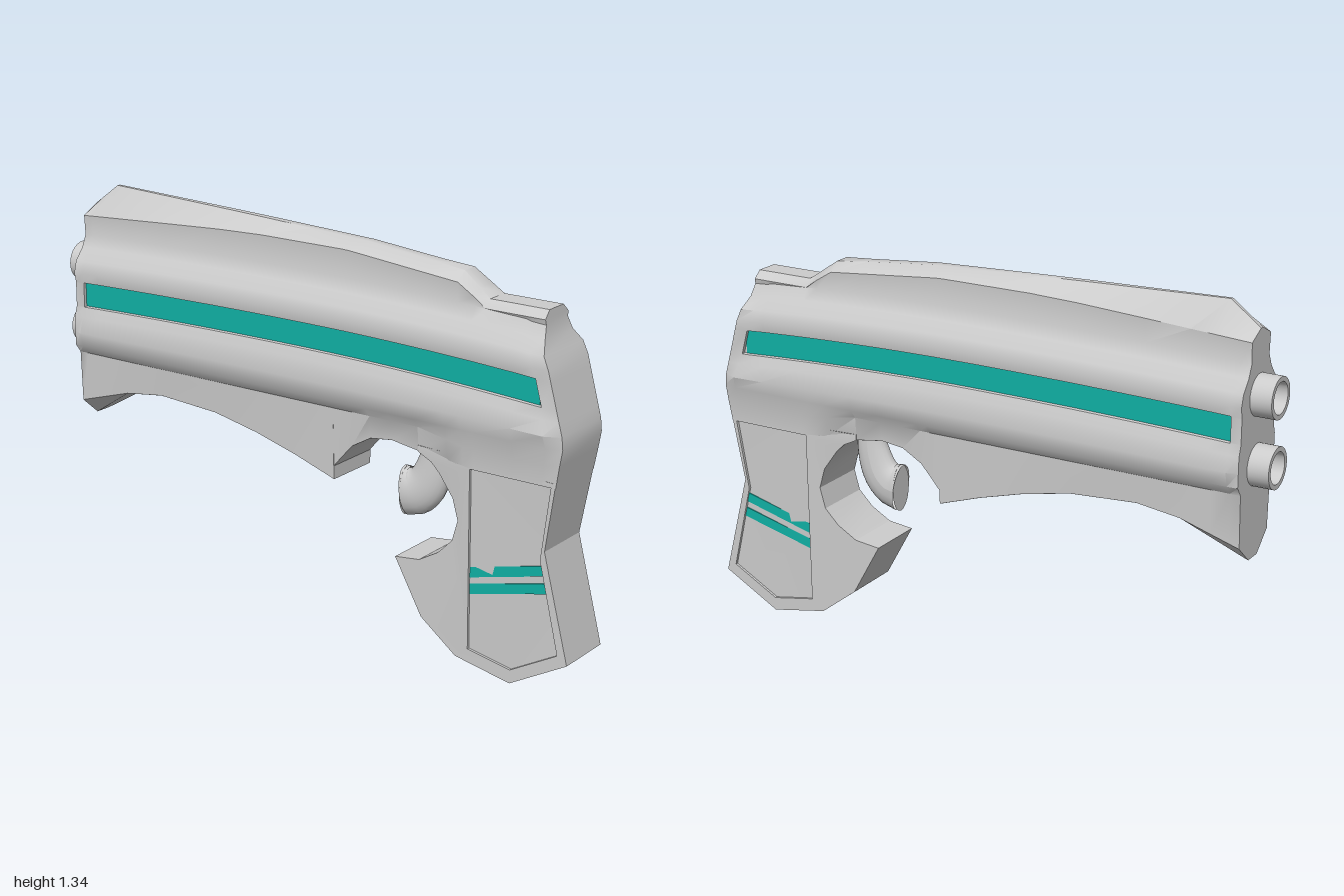
import * as THREE from 'three';
import { toCreasedNormals } from 'three/addons/utils/BufferGeometryUtils.js';

const grey = new THREE.MeshStandardMaterial({ color: 0xcccccc, side: THREE.DoubleSide });
const teal = new THREE.MeshStandardMaterial({ color: 0x10b0a4 });

// Piecewise linear lookup through [key, value] pairs with rising keys
function interp(pts, v) {
  if (v <= pts[0][0]) return pts[0][1];
  for (let i = 1; i < pts.length; i++) {
    const [a, fa] = pts[i - 1], [b, fb] = pts[i];
    if (v <= b) return fa + (fb - fa) * (v - a) / (b - a);
  }
  return pts[pts.length - 1][1];
}

const ridge = [[-0.93, 1.27], [-0.83, 1.345], [-0.25, 1.325], [0.2, 1.305], [0.56, 1.27], [0.66, 1.2], [0.86, 1.2]];
const shoulder = [[-0.93, 1.24], [-0.6, 1.26], [-0.25, 1.28], [0.15, 1.28], [0.57, 1.24], [0.66, 1.175], [0.86, 1.175]];
const ridgeWidth = [[-0.8, 0.006], [0.5, 0.02], [0.66, 0.04]];
const rearEdge = [[0.47, 0.91], [0.82, 0.97], [0.93, 0.94], [1.04, 0.91], [1.13, 0.87], [1.25, 0.86]];
const bow = z => (z > 0 ? -0.03 : -0.015) * (z / 0.9) ** 2;

// Half of the body cross-section, [half width, y] from bottom to top
function section(z, bottom, recess) {
  const d = bow(z), rear = interp([[0.45, 0], [0.62, 1]], z);
  const chin = interp([[-0.93, 1], [-0.73, 0]], z);
  const floor = recess ? 0.104 : 0.117;
  return [
    [0.098 - 0.068 * chin + 0.014 * rear, bottom],
    [0.1 + 0.012 * rear, bottom + 0.06 * chin + 0.001],
    [0.106 + 0.014 * rear, 0.775 - 0.025 * rear],
    [0.13, 0.805],
    [0.143, 0.86 + d / 2],
    [0.128, 0.92 + d],
    [0.117, 0.953 + d],
    [floor, 0.955 + d],
    [floor, 1.035 + d],
    [0.117, 1.037 + d],
    [0.124, 1.07 + d],
    [0.113, 1.11 + d],
    [0.08, 1.15 + d],
    [0.062, 1.19 + d],
    [0.066, interp(shoulder, z)],
    [interp(ridgeWidth, z), interp(ridge, z)],
  ];
}

function bodyGeometry() {
  // [z, underside height]; the doubled station is the front of the trigger opening
  const stations = [[0.8, 0.68], [0.66, 0.68], [0.62, 0.685], [0.56, 0.69], [0.45, 0.695], [0.35, 0.71],
    [0.27, 0.7], [0.2, 0.66], [0.16, 0.615], [0.13, 0.58], [0.13, 0.535], [-0.02, 0.585], [-0.18, 0.63],
    [-0.35, 0.665], [-0.58, 0.68], [-0.73, 0.66], [-0.83, 0.6], [-0.895, 0.561]];
  const rings = [];
  const add = (half, zOf, maxW) => {
    const side = half.map(([w, y]) => [Math.min(w, maxW), y, zOf(y)]);
    rings.push([...side, ...side.map(([x, y, z]) => [-x, y, z]).reverse()]);
  };
  const slanted = k => y => interp(rearEdge, y) - k;
  add(section(0.93, 0.68, false), slanted(0), 0.115);
  add(section(0.88, 0.68, false), slanted(0.05), 1);
  add(section(0.88, 0.68, true), slanted(0.05), 1);
  for (const [z, b] of stations) add(section(z, b, true), () => z, 1);
  add(section(-0.895, 0.561, false), () => -0.895, 1);
  add(section(-0.93, 0.54, false), () => -0.93, 0.128);

  const n = rings[0].length, last = (rings.length - 1) * n, index = [];
  for (let s = 0; s < rings.length - 1; s++) {
    for (let i = 0; i < n; i++) {
      const a = s * n + i, b = s * n + (i + 1) % n;
      index.push(a, a + n, b + n, a, b + n, b);
    }
  }
  // End faces as strips across the section
  for (let i = 0; i < n / 2 - 1; i++) {
    const l = n - 1 - i;
    index.push(l, i, i + 1, l, i + 1, l - 1);
    index.push(last + l, last + i + 1, last + i, last + l, last + l - 1, last + i + 1);
  }
  const g = new THREE.BufferGeometry();
  g.setAttribute('position', new THREE.Float32BufferAttribute(rings.flat(2), 3));
  g.setIndex(index);
  return toCreasedNormals(g, 0.6);
}

const points = list => list.map(([z, y]) => new THREE.Vector2(z, y));

// Side outline in (z, y) extruded across x, flaring out toward the body
function sideExtrude(outline, half, hole) {
  const shape = new THREE.Shape(points(outline));
  if (hole) shape.holes.push(new THREE.Path(points(hole)));
  const g = new THREE.ExtrudeGeometry(shape, { depth: 2 * half, bevelEnabled: false });
  g.translate(0, 0, -half).rotateY(-Math.PI / 2);
  const p = g.attributes.position;
  for (let i = 0; i < p.count; i++) {
    if (p.getZ(i) > 0.61 && p.getY(i) > 0.5) p.setX(i, p.getX(i) * (1 + (p.getY(i) - 0.5) * 0.5));
  }
  return toCreasedNormals(g, 0.4);
}

// Curved trigger that thickens toward its cut end
function triggerGeometry() {
  const path = new THREE.CatmullRomCurve3([[0.455, 0.74], [0.452, 0.64], [0.42, 0.555], [0.38, 0.522], [0.345, 0.517]]
    .map(([z, y]) => new THREE.Vector3(0, y, z)));
  const n = 16, m = 20, g = new THREE.TubeGeometry(path, n, 1, m);
  const p = g.attributes.position, v = new THREE.Vector3();
  for (let i = 0; i < p.count; i++) {
    const t = Math.floor(i / (m + 1)) / n, c = path.getPointAt(t);
    v.fromBufferAttribute(p, i).sub(c).multiplyScalar(0.045 + 0.037 * t);
    v.x *= 0.6;
    v.add(c);
    p.setXYZ(i, v.x, v.y, v.z);
  }
  g.computeVertexNormals();
  return g;
}

export function createModel() {
  const model = new THREE.Group();
  const add = (name, geometry, material = grey) => {
    const mesh = new THREE.Mesh(geometry, material);
    mesh.name = name;
    model.add(mesh);
    return mesh;
  };

  add('body', bodyGeometry());

  // Glowing strip, bowed along the side recesses
  const strip = new THREE.BoxGeometry(0.212, 0.08, 1.775, 1, 1, 24).translate(0, 0.995, -0.0075);
  const sp = strip.attributes.position;
  for (let i = 0; i < sp.count; i++) sp.setY(i, sp.getY(i) + bow(sp.getZ(i)));
  add('sideStrip', strip, teal);

  // Grip with recessed side panels
  const panel = [[0.93, 0.68], [0.645, 0.68], [0.645, 0.085], [0.8, 0.055], [0.965, 0.145], [0.895, 0.44]];
  add('grip', sideExtrude([[0.45, 0.715], [0.45, 0.695], [0.5, 0.67], [0.53, 0.64], [0.58, 0.57], [0.6, 0.5],
    [0.58, 0.43], [0.53, 0.38], [0.46, 0.34], [0.37, 0.33], [0.47, 0.15], [0.6, 0.05], [0.8, 0.01],
    [1.0, 0.12], [0.91, 0.47], [0.947, 0.695], [0.62, 0.715]], 0.103, panel));
  add('gripPanel', sideExtrude(panel, 0.094));
  for (const y of [0, -0.055]) {
    add('gripStripe', sideExtrude([[0.9 - y * 0.2, 0.42 + y], [0.645, 0.358 + y], [0.645, 0.323 + y],
      [0.908 - y * 0.2, 0.389 + y]], 0.098), teal);
  }

  // Trigger and its end face
  add('trigger', triggerGeometry());
  add('triggerEnd', new THREE.CircleGeometry(0.082, 20).rotateY(Math.PI).scale(0.6, 1, 1).translate(0, 0.517, 0.345));

  // Twin hollow muzzles
  const profile = points([[0.067, 0], [0.067, 0.08], [0.051, 0.08], [0.051, 0.025], [0, 0.025]]);
  for (const y of [1.063, 0.842]) {
    const g = toCreasedNormals(new THREE.LatheGeometry(profile, 28).rotateX(-Math.PI / 2), 0.6);
    add('muzzle', g).position.set(0, y, -0.92);
  }

  model.position.x = -0.006;
  return model;
}
